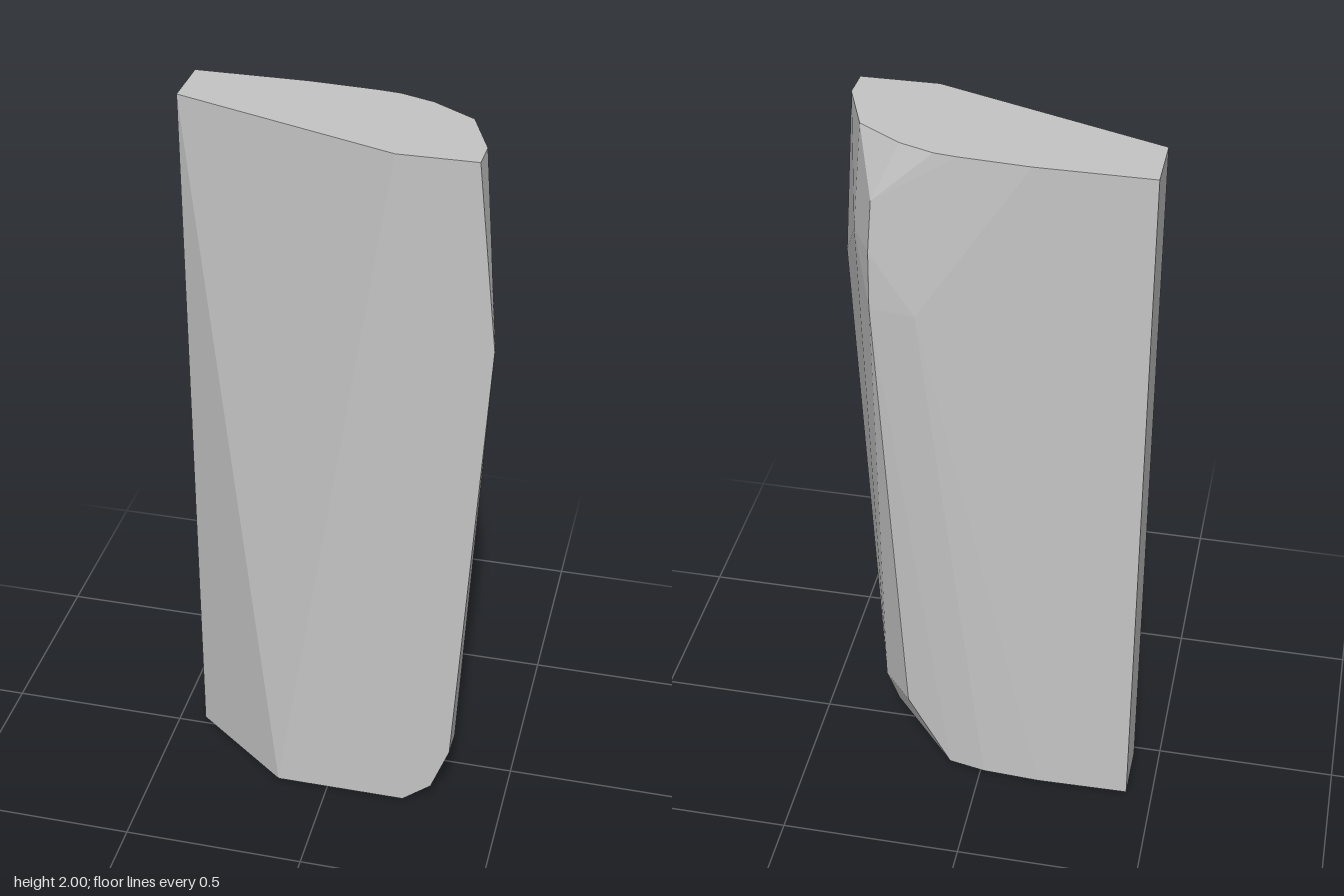
import * as THREE from 'three';
import { ConvexGeometry } from 'three/addons/geometries/ConvexGeometry.js';

// Outline rings of the faceted slab: height, then [x, z] corners
const rings = [
  // flat base
  [0, [[-0.427, -0.183], [-0.427, -0.025], [-0.145, 0.187], [0.22, 0.187], [0.163, -0.06], [0.094, -0.16],
    [-0.01, -0.18], [-0.17, -0.188]]],
  // worn lower edge
  [0.065, [[0.3, 0.187], [0.3, 0.11]]],
  [0.08, [[0.28, -0.01]]],
  [0.2, [[0.35, 0.187], [0.351, 0.11], [0.306, -0.04], [0.22, -0.135]]],
  // widest part of the rounded side
  [1.5, [[0.426, 0.187], [0.425, 0.172]]],
  [1.55, [[0.28, -0.165], [0.16, -0.184]]],
  [1.71, [[0.338, -0.06], [0.278, -0.162]]],
  [1.85, [[0.268, -0.155]]],
  // flat top
  [2, [[-0.427, -0.183], [-0.427, -0.025], [0.17, 0.187], [0.373, 0.187], [0.375, 0.105], [0.315, -0.05],
    [0.2, -0.127], [0.11, -0.16], [0.05, -0.168], [-0.13, -0.181]]],
];

export function createModel() {
  const group = new THREE.Group();
  group.name = 'stoneSlab';
  const stone = new THREE.MeshStandardMaterial({ color: 0xc6c6c6, flatShading: true });
  stone.name = 'stone grey';

  // The whole stone is one convex block stretched over the rings
  const points = rings.flatMap(([y, corners]) => corners.map(([x, z]) => new THREE.Vector3(x, y, z)));
  const slab = new THREE.Mesh(new ConvexGeometry(points), stone);
  slab.name = 'slab';
  group.add(slab);
  return group;
}
